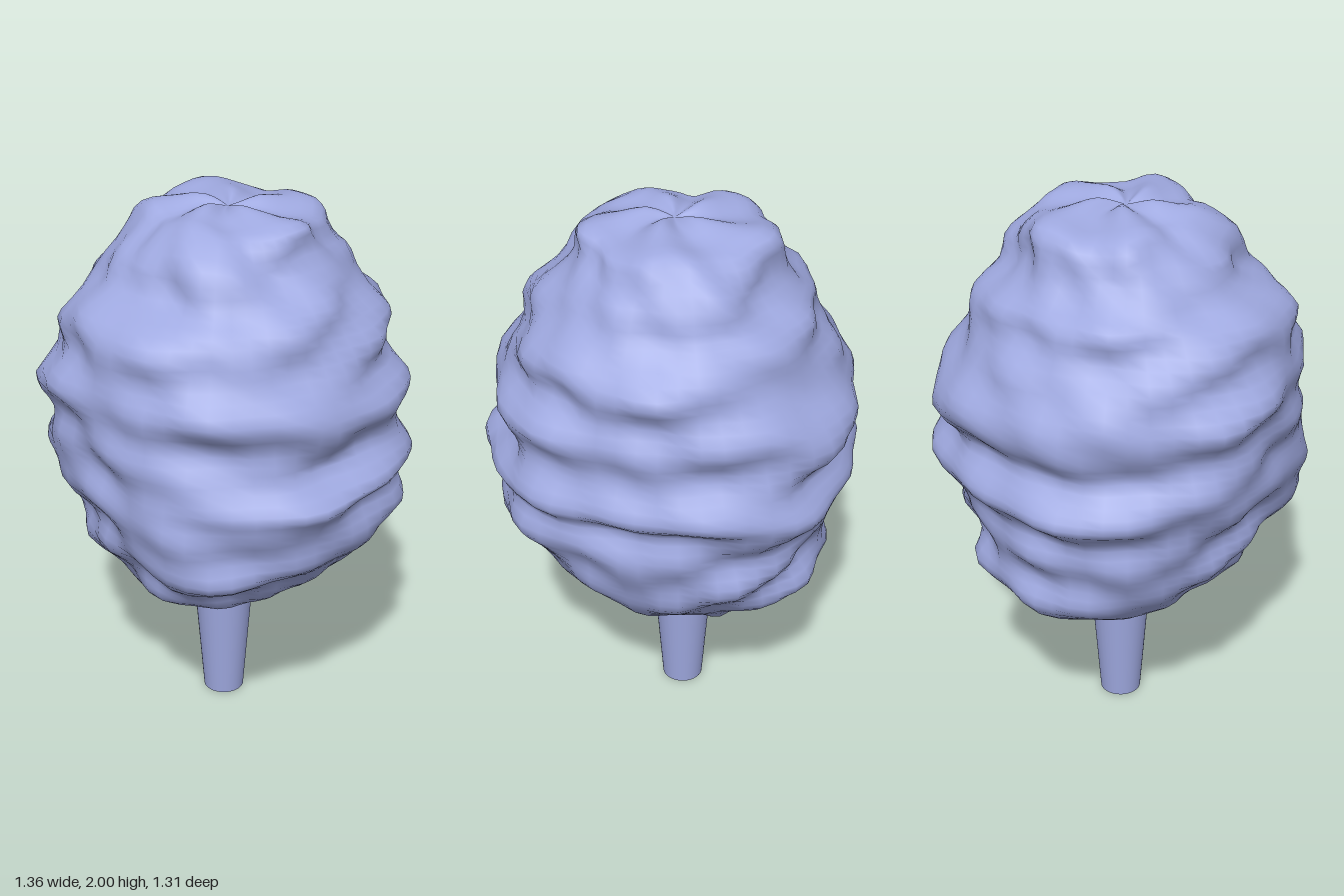
import * as THREE from 'three';
import { mergeVertices } from 'three/addons/utils/BufferGeometryUtils.js';

// Rings from top to bottom: height, then reach toward +x, +z, -x, -z
const RINGS = [
  [1.97, 0, 0, 0, 0],
  [1.985, 0.1, 0.1, 0.1, 0.1],
  [1.97, 0.2, 0.19, 0.21, 0.2],
  [1.95, 0.31, 0.27, 0.32, 0.32],
  [1.86, 0.36, 0.37, 0.37, 0.39],
  [1.76, 0.44, 0.44, 0.42, 0.44],
  [1.69, 0.49, 0.54, 0.50, 0.51],
  [1.60, 0.54, 0.60, 0.52, 0.56],
  [1.50, 0.58, 0.61, 0.56, 0.57],
  [1.40, 0.63, 0.63, 0.66, 0.59],
  [1.30, 0.59, 0.61, 0.63, 0.58],
  [1.21, 0.59, 0.61, 0.59, 0.59],
  [1.12, 0.66, 0.61, 0.64, 0.63],
  [1.05, 0.62, 0.59, 0.67, 0.58],
  [0.95, 0.63, 0.56, 0.58, 0.56],
  [0.85, 0.61, 0.53, 0.57, 0.56],
  [0.76, 0.50, 0.49, 0.57, 0.53],
  [0.67, 0.41, 0.43, 0.57, 0.50],
  [0.59, 0.33, 0.36, 0.51, 0.40],
  [0.53, 0.22, 0.24, 0.37, 0.28],
  [0.51, 0.10, 0.12, 0.18, 0.15],
  [0.52, 0, 0, 0, 0],
];

// Broad bulges: angle, height, angular spread, height spread, reach
const BULGES = [
  [0.85, 0.88, 0.3, 0.25, 0.09],
  [0.35, 1.1, 0.25, 0.12, 0.03],
  [-2.13, 1.15, 0.28, 0.3, 0.08],
  [-2.55, 1.35, 0.3, 0.15, 0.04],
  [-0.55, 1.2, 0.3, 0.3, 0.04],
  [1.95, 1.3, 0.25, 0.2, 0.03],
  [2.6, 0.95, 0.3, 0.2, 0.03],
];

function bulge(a, y) {
  let sum = 0;
  for (const [a0, y0, sa, sy, h] of BULGES) {
    const d = Math.atan2(Math.sin(a - a0), Math.cos(a - a0));
    sum += h * Math.exp(-((d / sa) ** 2) - ((y - y0) / sy) ** 2);
  }
  return sum;
}

// Soft, mostly level ridges that wind around the body
function ripple(a, y) {
  return 0.014 * Math.sin(30 * y + 2 * a + 1.2 * Math.sin(3 * a))
    + 0.011 * Math.sin(19 * y - 3 * a + Math.sin(2 * a + 1))
    + 0.010 * Math.sin(7 * a + 11 * y + 2 * Math.sin(8 * y))
    + 0.007 * Math.sin(13 * a - 23 * y) - 0.008;
}

function flossGeometry() {
  const curve = (i) => new THREE.CatmullRomCurve3(
    RINGS.map((r) => new THREE.Vector3(r[0], r[i], 0)), false, 'catmullrom', 0.5);
  const curves = [1, 2, 3, 4].map(curve);
  const across = 52, down = 63;
  const geo = new THREE.SphereGeometry(1, across, down);
  const p = geo.attributes.position;
  for (let row = 0; row <= down; row++) {
    const [px, pz, nx, nz] = curves.map((c) => c.getPoint(row / down));
    const end = Math.min(1, Math.min(row, down - row) / 9);
    for (let col = 0; col <= across; col++) {
      const a = (col % across) / across * Math.PI * 2;
      const cx = -Math.cos(a), cz = Math.sin(a);
      const angle = Math.atan2(cz, cx);
      const y = px.x;
      let r = (cx > 0 ? px.y : nx.y) * cx * cx + (cz > 0 ? pz.y : nz.y) * cz * cz;
      r += end * (bulge(angle, y) + ripple(angle, y));
      if (row === 0 || row === down) r = 0;
      r = Math.max(0, r);
      const x = r * cx, z = r * cz;
      // Uneven crown and a tuft hanging behind the handle
      const crown = y > 1.85 ? 0.015 * Math.min(1, r / 0.1) * Math.sin(5 * angle + 9 * r) : 0;
      const tuft = y < 0.65 ? 0.09 * Math.exp(-(((x + 0.15) / 0.09) ** 2) - ((z + 0.2) / 0.1) ** 2) : 0;
      p.setXYZ(row * (across + 1) + col, x, y + crown - tuft, z);
    }
  }
  geo.deleteAttribute('uv');
  geo.deleteAttribute('normal');
  const merged = mergeVertices(geo, 1e-5);
  merged.computeVertexNormals();
  return merged;
}

export function createModel() {
  const group = new THREE.Group();
  const periwinkle = new THREE.MeshStandardMaterial({ color: 0x9fa9e0 });
  periwinkle.name = 'periwinkle';

  // Fluffy spun body
  const floss = new THREE.Mesh(flossGeometry(), periwinkle);
  floss.name = 'floss';
  group.add(floss);

  // Tapered handle, wider at the top
  const handle = new THREE.Mesh(new THREE.CylinderGeometry(0.122, 0.076, 0.6, 32), periwinkle);
  handle.name = 'handle';
  handle.position.set(-0.033, 0.3, -0.003);
  group.add(handle);

  return group;
}
